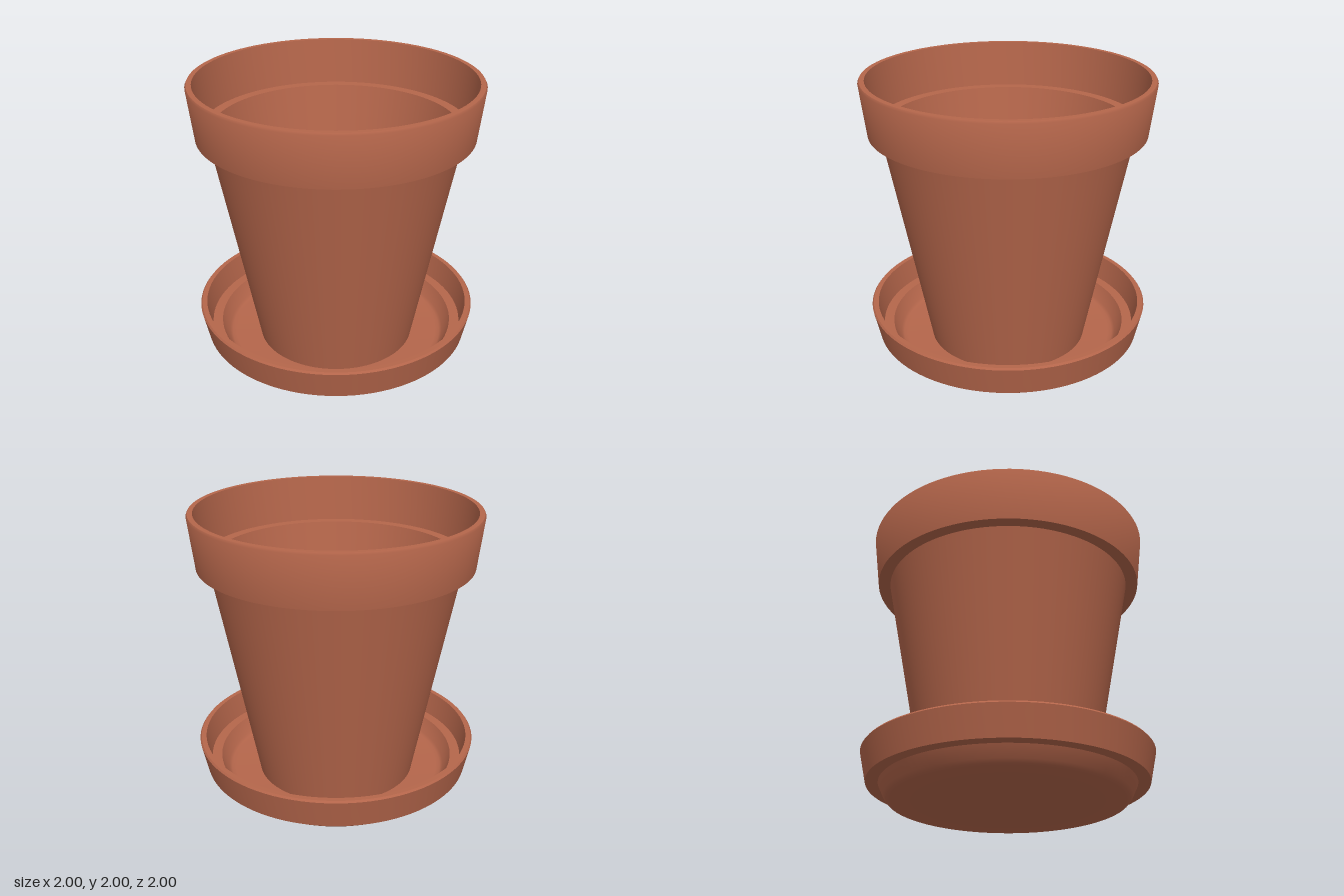
import * as THREE from 'three';
import { toCreasedNormals } from 'three/addons/utils/BufferGeometryUtils.js';

const terracotta = new THREE.MeshStandardMaterial({ color: 0xb5664b });
terracotta.name = 'terracotta';

// Turns a profile of [radius, height] points, running from the outer base up and back inside
function turned(name, profile) {
  const points = profile.map(([r, y]) => new THREE.Vector2(r, y));
  const lathe = new THREE.LatheGeometry(points, 96);
  const mesh = new THREE.Mesh(toCreasedNormals(lathe, THREE.MathUtils.degToRad(40)), terracotta);
  mesh.name = name;
  return mesh;
}

export function createModel() {
  const model = new THREE.Group();
  model.name = 'flowerpotWithSaucer';

  // Tapered pot with a thick collar and a ledge inside it
  model.add(turned('pot', [
    [0, 0.05], [0.565, 0.05],
    [0.87, 1.63], [0.955, 1.63],
    [0.998, 1.985], [0.99, 2], [0.955, 2],
    [0.92, 1.675], [0.845, 1.675],
    [0.53, 0.08], [0, 0.08],
  ]));

  // Shallow saucer with a matching collar and a rounded foot
  model.add(turned('saucer', [
    [0, 0], [0.78, 0.01], [0.812, 0.017], [0.832, 0.04],
    [0.87, 0.12], [0.955, 0.12],
    [1, 0.325], [0.99, 0.338], [0.955, 0.338],
    [0.92, 0.165], [0.85, 0.165],
    [0.8, 0.07], [0.78, 0.053], [0.75, 0.05], [0, 0.05],
  ]));

  return model;
}
